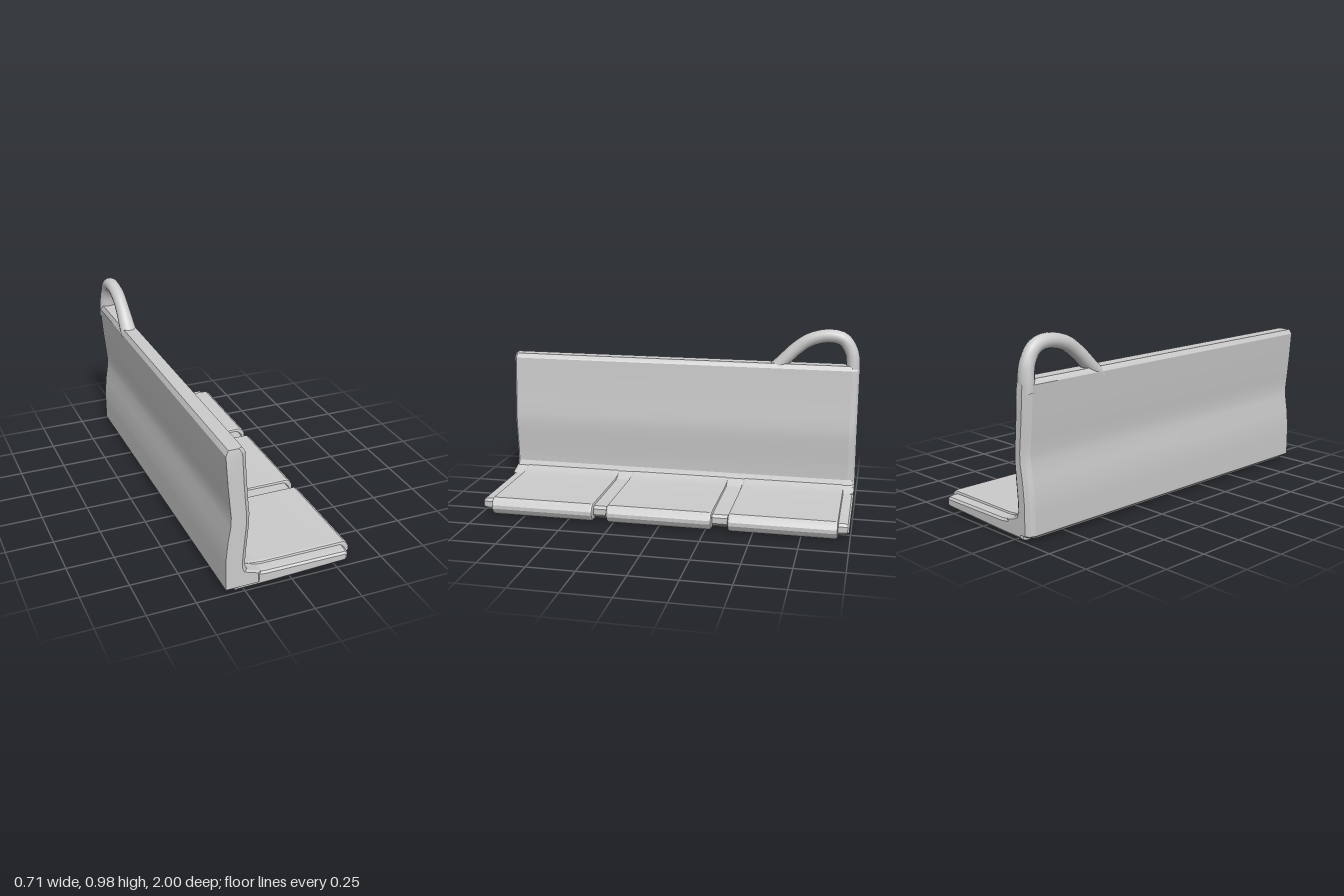
import * as THREE from 'three';
import { toCreasedNormals } from 'three/addons/utils/BufferGeometryUtils.js';

const material = new THREE.MeshStandardMaterial({ color: 0xcccccc });

function part(name, geometry, crease = 0.35) {
  const mesh = new THREE.Mesh(toCreasedNormals(geometry, crease), material);
  mesh.name = name;
  return mesh;
}

// Joins equal-length rings (counter-clockwise from above, bottom to top) and caps both ends.
function loft(rings) {
  const n = rings[0].length, index = [];
  for (let r = 0; r < rings.length - 1; r++) {
    for (let i = 0; i < n; i++) {
      const a = r * n + i, b = r * n + (i + 1) % n;
      index.push(a, b, b + n, a, b + n, a + n);
    }
  }
  const top = (rings.length - 1) * n;
  for (let i = 1; i < n - 1; i++) {
    index.push(0, i + 1, i, top, top + i, top + i + 1);
  }
  const geometry = new THREE.BufferGeometry();
  geometry.setAttribute('position', new THREE.Float32BufferAttribute(rings.flat(2), 3));
  geometry.setIndex(index);
  return geometry;
}

// Side profile extruded between two z positions, with bevelled ends kept inside the outline.
function slab(name, profile, z0, z1, inset, thickness, segments) {
  const shape = new THREE.Shape(profile.map(([x, y]) => new THREE.Vector2(x, y)));
  const geometry = new THREE.ExtrudeGeometry(shape, {
    depth: z1 - z0 - 2 * thickness, bevelSize: inset, bevelOffset: -inset,
    bevelThickness: thickness, bevelSegments: segments,
  });
  geometry.translate(0, 0, z0 + thickness);
  return part(name, geometry);
}

export function createModel() {
  const group = new THREE.Group();

  // Backrest: height, back x, front x, end inset; the low levels form the fillet to the seat
  const levels = [
    [0, -0.31, -0.18, 0.045], [0.03, -0.35, -0.16, 0], [0.085, -0.35, -0.16, 0],
    [0.1, -0.35, -0.21, 0], [0.112, -0.35, -0.235, 0], [0.14, -0.35, -0.246, 0],
    [0.2, -0.35, -0.244, 0], [0.3, -0.34, -0.235, 0], [0.38, -0.327, -0.228, 0],
    [0.43, -0.325, -0.228, 0], [0.5, -0.332, -0.235, 0], [0.6, -0.342, -0.243, 0],
    [0.76, -0.354, -0.253, 0], [0.785, -0.34, -0.268, 0.005],
  ];
  group.add(part('backrest', loft(levels.map(([y, xb, xf, d]) => [
    [xb, y, 1 - d], [xf - 0.02, y, 1 - d], [xf, y, 0.985 - d],
    [xf, y, -0.955 + d], [xf - 0.012, y, -0.982 + d], [xf - 0.032, y, -0.995 + d],
    [xb + 0.03, y, -0.995 + d], [xb + 0.01, y, -0.98 + d], [xb, y, -0.955 + d],
  ]))));

  // Recessed seat base seen at the ends and between the cushions
  group.add(slab('seatBase', [
    [-0.3, 0.002], [-0.13, 0.004], [0.3, 0.018], [0.316, 0.034], [0.316, 0.066],
    [0.3, 0.08], [-0.14, 0.083], [-0.2, 0.09], [-0.235, 0.11], [-0.3, 0.11],
  ], -0.995, 0.995, 0.016, 0.03, 2));

  // Three cushions with rounded front edges
  const cushion = [
    [-0.28, 0], [0.32, 0], [0.338, 0.014], [0.352, 0.038], [0.352, 0.058],
    [0.338, 0.082], [0.32, 0.095], [-0.13, 0.095], [-0.2, 0.102], [-0.235, 0.114], [-0.28, 0.13],
  ];
  [-0.653, 0.002, 0.647].forEach((z, i) => {
    group.add(slab('cushion' + (i + 1), cushion, z - 0.285, z + 0.285, 0.012, 0.012, 2));
  });

  // Grab handle, widening where it meets the backrest
  const path = new THREE.CatmullRomCurve3([
    [0.74, -0.51], [0.79, -0.565], [0.865, -0.64], [0.92, -0.72], [0.944, -0.82],
    [0.927, -0.9], [0.86, -0.946], [0.79, -0.957], [0.72, -0.957],
  ].map(([y, z]) => new THREE.Vector3(-0.308, y, z)));
  const handle = new THREE.TubeGeometry(path, 40, 0.038, 14);
  const pos = handle.attributes.position;
  for (let i = 0; i < pos.count; i++) {
    const flare = THREE.MathUtils.clamp((0.88 - pos.getY(i)) / 0.12, 0, 1);
    pos.setX(i, -0.308 + (pos.getX(i) + 0.308) * (1 + 0.25 * flare));
  }
  group.add(part('grabHandle', handle, 1));

  return group;
}
